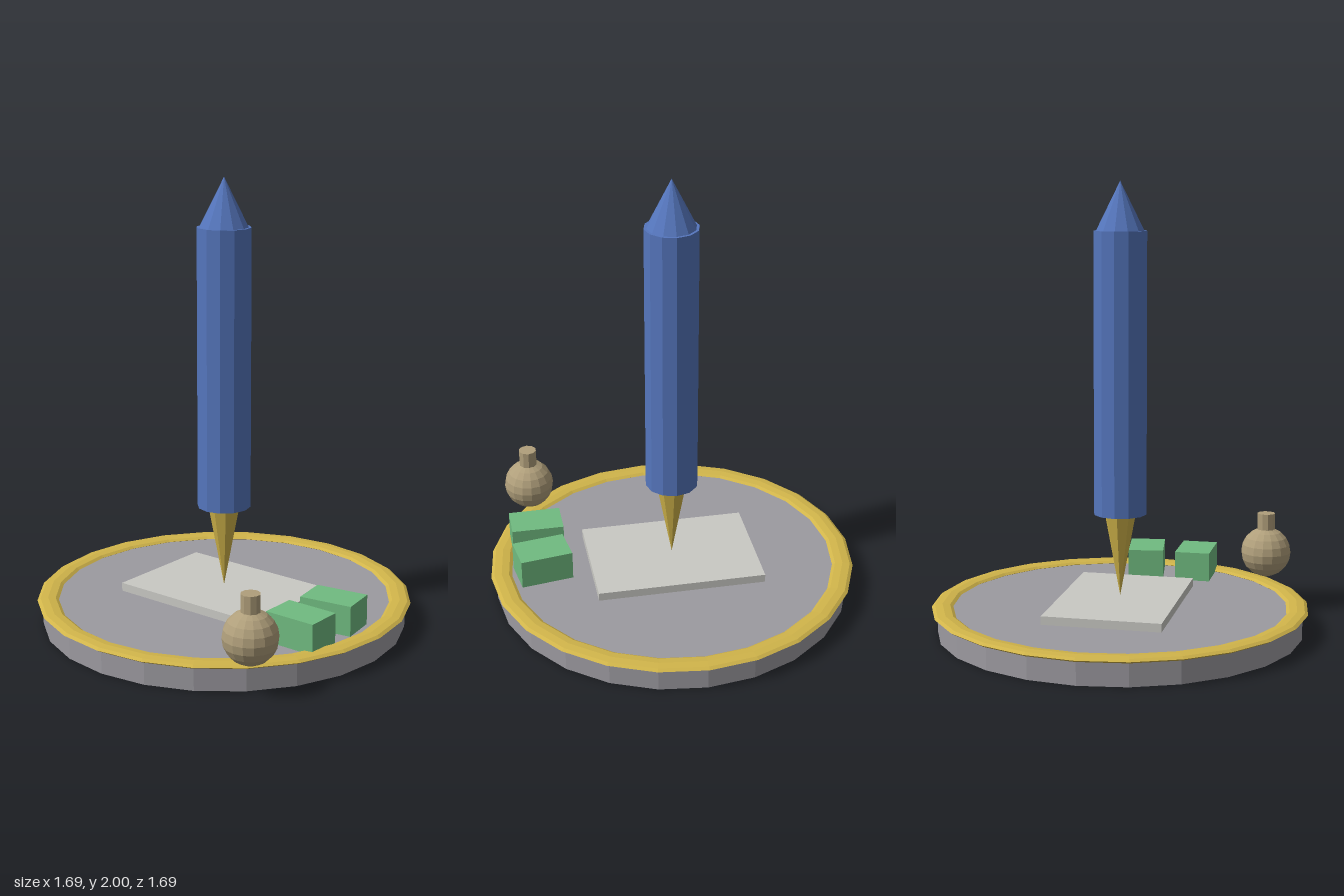
import * as THREE from 'three';

export function createModel() {
  const model = new THREE.Group();
  const paint = (name, color) => {
    const m = new THREE.MeshStandardMaterial({ color, flatShading: true });
    m.name = name;
    return m;
  };
  const grey = paint('base grey', 0x9c9aa0);
  const gold = paint('gold', 0xd0b44a);
  const blue = paint('pen blue', 0x5576bd);
  const pale = paint('paper grey', 0xc9c9c4);
  const green = paint('eraser green', 0x70bb80);
  const tan = paint('bottle tan', 0xb09f7b);

  const add = (name, geometry, material, x, y, z) => {
    const mesh = new THREE.Mesh(geometry, material);
    mesh.name = name;
    mesh.position.set(x, y, z);
    model.add(mesh);
    return mesh;
  };

  // Round base with a flattened rim
  add('base', new THREE.CylinderGeometry(0.82, 0.82, 0.11, 24), grey, 0, 0.055, 0);
  const ring = new THREE.TorusGeometry(0.797, 0.048, 8, 24);
  ring.rotateX(-Math.PI / 2).scale(1, 0.27, 1);
  add('rim', ring, gold, 0, 0.112, 0);

  // Flat sheet under the pen
  add('sheet', new THREE.BoxGeometry(0.77, 0.038, 0.53), pale, 0, 0.129, 0);

  // Upright pen balanced on its point
  const nib = new THREE.ConeGeometry(0.072, 0.38, 8);
  nib.rotateX(Math.PI);
  add('penNib', nib, gold, 0, 0.345, 0);
  add('penBody', new THREE.CylinderGeometry(0.12, 0.12, 1.255, 12), blue, 0, 1.1575, 0);
  add('penCap', new THREE.ConeGeometry(0.108, 0.215, 12), blue, 0, 1.8925, 0);

  // Two small blocks, one turned slightly
  for (const [z, turn] of [[0, 0.15], [0.242, 0]]) {
    const block = add('block', new THREE.BoxGeometry(0.24, 0.135, 0.165), green, 0.605, 0.1775, z);
    block.rotation.y = turn;
  }

  // Round bottle with a stopper
  add('bottle', new THREE.SphereGeometry(0.118, 16, 10), tan, 0.6, 0.243, 0.58);
  add('bottleStopper', new THREE.CylinderGeometry(0.042, 0.042, 0.08, 10), tan, 0.6, 0.39, 0.58);

  return model;
}
